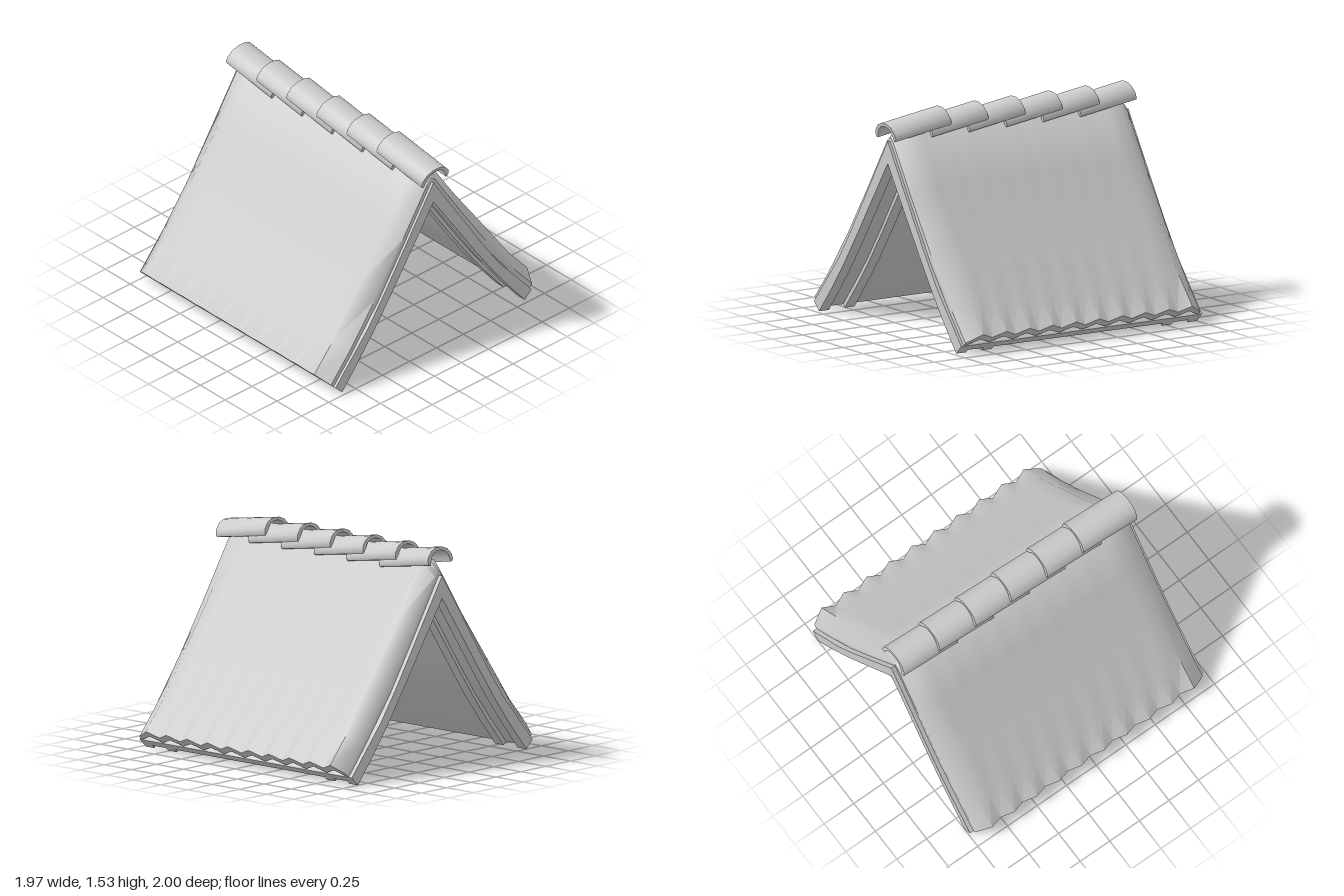
import * as THREE from 'three';
import { toCreasedNormals } from 'three/addons/utils/BufferGeometryUtils.js';

// Half profiles, eave to ridge (x, y)
const RAFTER_TOP = [[0.91, 0.06], [0.75, 0.247], [0.61, 0.41], [0.445, 0.645], [0, 1.333]];
const RAFTER_BOTTOM = [[0.847, 0], [0.69, 0.19], [0.54, 0.386], [0.39, 0.6], [0, 1.175]];
const COVER_BASE = [[0.91, 0.06], [0.75, 0.247], [0.5, 0.567], [0.25, 0.945], [0.03, 1.287], [0, 1.333]];
const COVER_TOP = [[0.987, 0.142], [0.82, 0.333], [0.56, 0.697], [0.3, 1.058], [0.06, 1.42], [0, 1.435]];

const mix = (a, b, t) => a.map((p, i) => [p[0] + (b[i][0] - p[0]) * t, p[1] + (b[i][1] - p[1]) * t]);
const mirrored = (half) => [...half, ...half.slice(0, -1).reverse().map(([x, y]) => [-x, y])];

// Closed band between two half profiles, extruded from zBack
function band(top, bottom, zBack, depth, crease) {
  const pts = [...mirrored(top), ...mirrored(bottom).reverse()];
  const shape = new THREE.Shape(pts.map(([x, y]) => new THREE.Vector2(x, y)));
  const geo = new THREE.ExtrudeGeometry(shape, { depth, bevelEnabled: false });
  geo.translate(0, 0, zBack);
  return toCreasedNormals(geo, crease);
}

// Corrugated sheet lofted along z, with sloped ends and a zigzag eave
function coverGeometry() {
  const sections = [];
  const add = (z, outer, inner) => {
    const at = (f) => mirrored(COVER_BASE.map((b, i) => {
      const t = f(i), o = COVER_TOP[i];
      return [b[0] + (o[0] - b[0]) * t, b[1] + (o[1] - b[1]) * t];
    }));
    sections.push({ z, pts: [...at(outer), ...at(inner).reverse()] });
  };
  add(0.95, () => 0.3, () => 0);
  for (let k = 0; k <= 18; k++) {
    const valley = k % 2 === 1;
    add(0.84 - k * 0.095,
      (i) => (!valley || i > 3 ? 1 : i === 0 ? 0.55 : 0.88),
      (i) => (i > 3 ? 0.3 : valley ? 0.1 : 0.5));
  }
  add(-0.97, () => 0.3, () => 0);

  const n = sections[0].pts.length;
  const position = [];
  const index = [];
  for (const s of sections) for (const [x, y] of s.pts) position.push(x, y, s.z);
  const quad = (a, b, c, d) => index.push(a, b, c, a, c, d);
  for (let s = 0; s < sections.length - 1; s++) {
    for (let i = 0; i < n; i++) {
      const j = (i + 1) % n;
      quad(s * n + i, (s + 1) * n + i, (s + 1) * n + j, s * n + j);
    }
  }
  // End caps
  const last = (sections.length - 1) * n;
  for (let i = 0; i < n / 2 - 1; i++) {
    quad(i, i + 1, n - 2 - i, n - 1 - i);
    quad(last + n - 1 - i, last + n - 2 - i, last + i + 1, last + i);
  }
  const geo = new THREE.BufferGeometry();
  geo.setAttribute('position', new THREE.Float32BufferAttribute(position, 3));
  geo.setIndex(index);
  return toCreasedNormals(geo, 0.95);
}

// Curved ridge tile, its front top edge at the origin
function ridgeTileGeometry() {
  const outer = [[0.118, -0.112], [0.125, -0.095], [0.118, -0.062], [0.08, -0.02], [0.035, -0.003], [0, 0]];
  const inner = [[0.1, -0.116], [0.094, -0.09], [0.08, -0.06], [0.058, -0.038], [0.028, -0.025], [0, -0.022]];
  return band(outer, inner, -0.46, 0.46, 0.7);
}

export function createModel() {
  const model = new THREE.Group();
  model.name = 'gableRoof';
  const grey = new THREE.MeshStandardMaterial({ color: 0xcccccc });
  grey.name = 'light grey';

  const addMesh = (name, geo) => {
    const mesh = new THREE.Mesh(geo, grey);
    mesh.name = name;
    model.add(mesh);
    return mesh;
  };

  // Rafters: an outer and an inner pair at each end
  for (const [name, z, width] of [
    ['frontRafter', 0.89, 0.08], ['innerFrontRafter', 0.68, 0.08],
    ['innerBackRafter', -0.79, 0.08], ['backRafter', -1, 0.08],
  ]) addMesh(name, band(RAFTER_TOP, RAFTER_BOTTOM, z, width, 0.5));

  // Boarding set back between the rafters
  addMesh('underPanel', band(RAFTER_TOP, mix(RAFTER_BOTTOM, RAFTER_TOP, 0.35), -0.92, 1.81, 0.5));

  addMesh('roofCover', coverGeometry());

  // Overlapping ridge tiles, each tilted up towards the back
  const tile = ridgeTileGeometry();
  for (let i = 0; i < 6; i++) {
    const mesh = addMesh('ridgeTile' + (i + 1), tile);
    mesh.position.set(0, 1.46, 1 - i * 0.303);
    mesh.rotation.x = 0.152;
  }
  return model;
}
